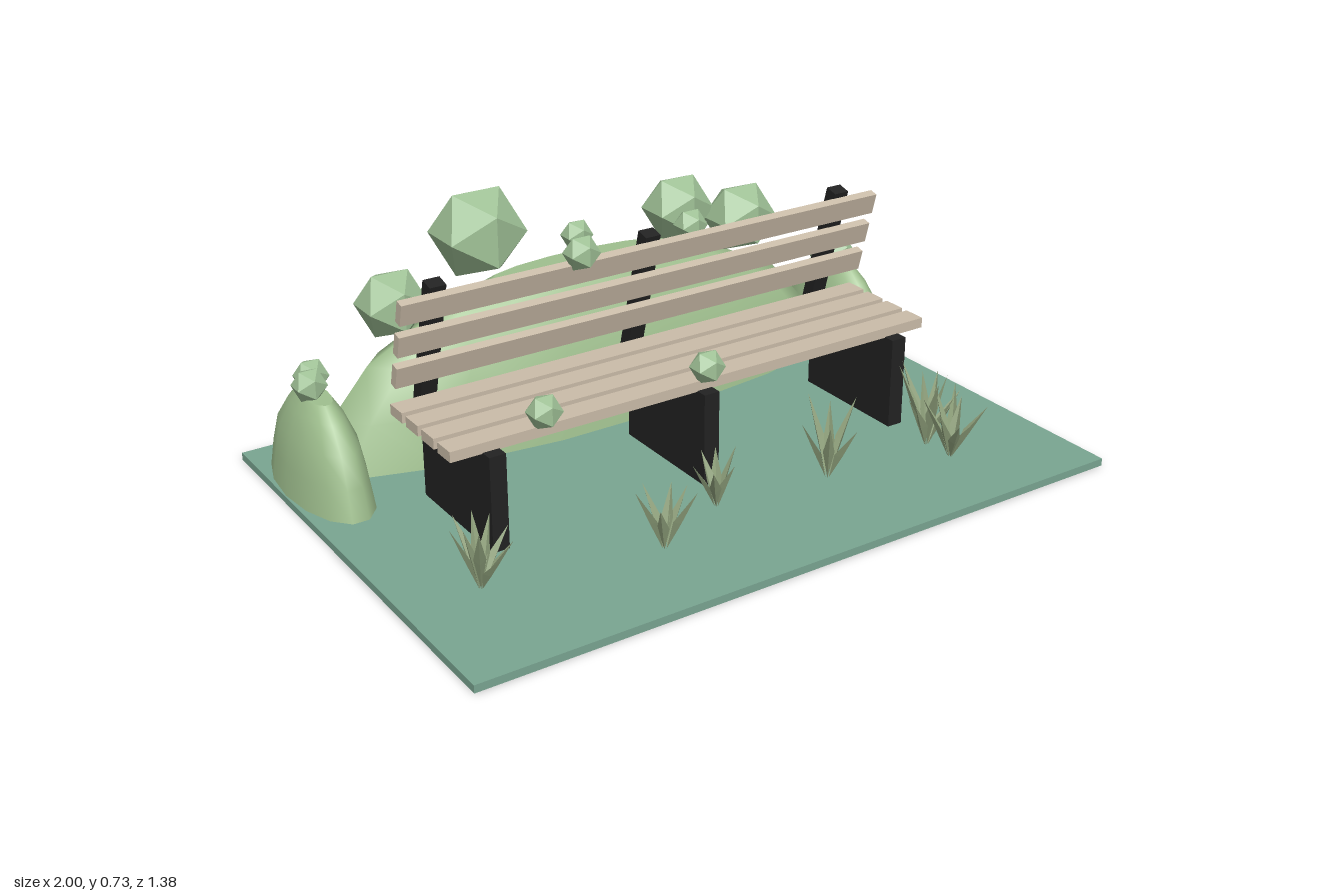
import * as THREE from 'three';

const paint = (name, color, extra = {}) => {
  const m = new THREE.MeshStandardMaterial({ color, ...extra });
  m.name = name;
  return m;
};

export function createModel() {
  const model = new THREE.Group();
  model.name = 'gardenBench';
  const lawn = paint('lawn green', 0x7aa692);
  const metal = paint('black metal', 0x222222);
  const wood = paint('pale wood', 0xcbbda9);
  const hillGreen = paint('hill green', 0xa0c08f);
  const bushGreen = paint('bush green', 0xa0c297);
  const leafGreen = paint('leaf green', 0x93a57f, { side: THREE.DoubleSide });

  const add = (name, geometry, material, x = 0, y = 0, z = 0, parent = model) => {
    const mesh = new THREE.Mesh(geometry, material);
    mesh.name = name;
    mesh.position.set(x, y, z);
    parent.add(mesh);
    return mesh;
  };
  const box = (w, h, d) => new THREE.BoxGeometry(w, h, d);

  add('ground', box(2, 0.022, 1.385), lawn, 0, 0.011, 0);

  // Bench: three supports with tilted posts, then the slats
  const lean = Math.atan2(0.1, 0.374);
  for (const x of [-0.655, 0, 0.655]) {
    add('benchLeg', box(0.048, 0.275, 0.38), metal, x, 0.157, 0.01);
    add('backPost', box(0.048, 0.387, 0.04), metal, x, 0.474, -0.153).rotation.x = lean;
  }
  for (const z of [0.131, 0.042, -0.046, -0.136]) {
    add('seatSlat', box(1.54, 0.03, 0.068), wood, 0, 0.307, z);
  }
  for (const [y, z] of [[0.607, -0.084], [0.51, -0.11], [0.414, -0.135]]) {
    add('backSlat', box(1.54, 0.064, 0.026), wood, 0, y, z).rotation.x = lean;
  }

  // Smooth oval mounds with a flat top
  const profile = [[1, 0], [0.9, 0.32], [0.77, 0.62], [0.53, 0.87], [0.33, 1]]
    .map(([r, y]) => new THREE.Vector2(r, y));
  const mound = (name, x, z, rx, h, rz) => {
    const group = new THREE.Group();
    group.name = name;
    group.position.set(x, 0.02, z);
    const side = new THREE.LatheGeometry(profile, 14, Math.PI / 14);
    side.scale(rx, h, rz);
    add('slope', side, hillGreen, 0, 0, 0, group);
    const cap = new THREE.CircleGeometry(0.33, 14);
    cap.rotateX(-Math.PI / 2);
    cap.scale(rx, 1, rz);
    add('flatTop', cap, hillGreen, 0, h, 0, group);
    model.add(group);
  };
  mound('hill', 0, -0.465, 0.91, 0.45, 0.218);
  for (const s of [-1, 1]) mound('sideMound', s * 0.889, -0.385, 0.108, 0.277, 0.255);

  // Faceted round bushes: x, y, z, radius
  const bushes = [
    [-0.32, 0.61, -0.5, 0.141], [-0.593, 0.45, -0.51, 0.106],
    [0.39, 0.53, -0.545, 0.11], [0.555, 0.497, -0.447, 0.113],
    [-0.51, 0.36, -0.61, 0.052], [-0.42, 0.39, -0.61, 0.052],
    [0.067, 0.488, -0.605, 0.05], [0.45, 0.385, -0.59, 0.053], [0.35, 0.52, -0.415, 0.052],
    [-0.905, 0.33, -0.38, 0.05], [-0.88, 0.335, -0.425, 0.05],
    [0.862, 0.33, -0.42, 0.05], [0.895, 0.33, -0.38, 0.052],
    [-0.24, 0.665, -0.065, 0.052], [-0.495, 0.358, 0.16, 0.05], [0.012, 0.356, 0.16, 0.05],
  ];
  for (const [x, y, z, r] of bushes) {
    add('roundBush', new THREE.IcosahedronGeometry(r, 0), bushGreen, x, y, z);
  }

  // Pointed leaf with a folded middle, leaning outward along +z
  const leaf = (height, reach, width) => {
    const base = [0, 0, 0.005];
    const tip = [0, height, reach];
    const mid = [0, height * 0.45, reach * 0.5];
    const left = [-width, height * 0.5, reach * 0.35];
    const right = [width, height * 0.5, reach * 0.35];
    const g = new THREE.BufferGeometry();
    const corners = [base, mid, left, base, right, mid, left, mid, tip, mid, right, tip];
    g.setAttribute('position', new THREE.Float32BufferAttribute(corners.flat(), 3));
    g.computeVertexNormals();
    return g;
  };

  // Leafy tufts: x, z, height, leaf count
  let seed = 7;
  const random = () => (seed = (seed * 16807) % 2147483647) / 2147483647;
  const tufts = [
    [-0.785, 0.33, 0.2, 9], [-0.3, 0.42, 0.22, 6], [-0.06, 0.31, 0.18, 6],
    [0.29, 0.345, 0.24, 6], [0.65, 0.345, 0.24, 10], [0.655, 0.44, 0.21, 8],
  ];
  for (const [x, z, height, count] of tufts) {
    const tuft = new THREE.Group();
    tuft.name = 'leafyTuft';
    tuft.position.set(x, 0.02, z);
    for (let i = 0; i < count; i++) {
      const h = height * (0.62 + 0.4 * random());
      const reach = 0.05 + 0.05 * random();
      const blade = add('leaf', leaf(h, reach, 0.016), leafGreen, 0, 0, 0, tuft);
      blade.rotation.y = (i + 0.5 * random()) * Math.PI * 2 / count;
    }
    model.add(tuft);
  }
  return model;
}
